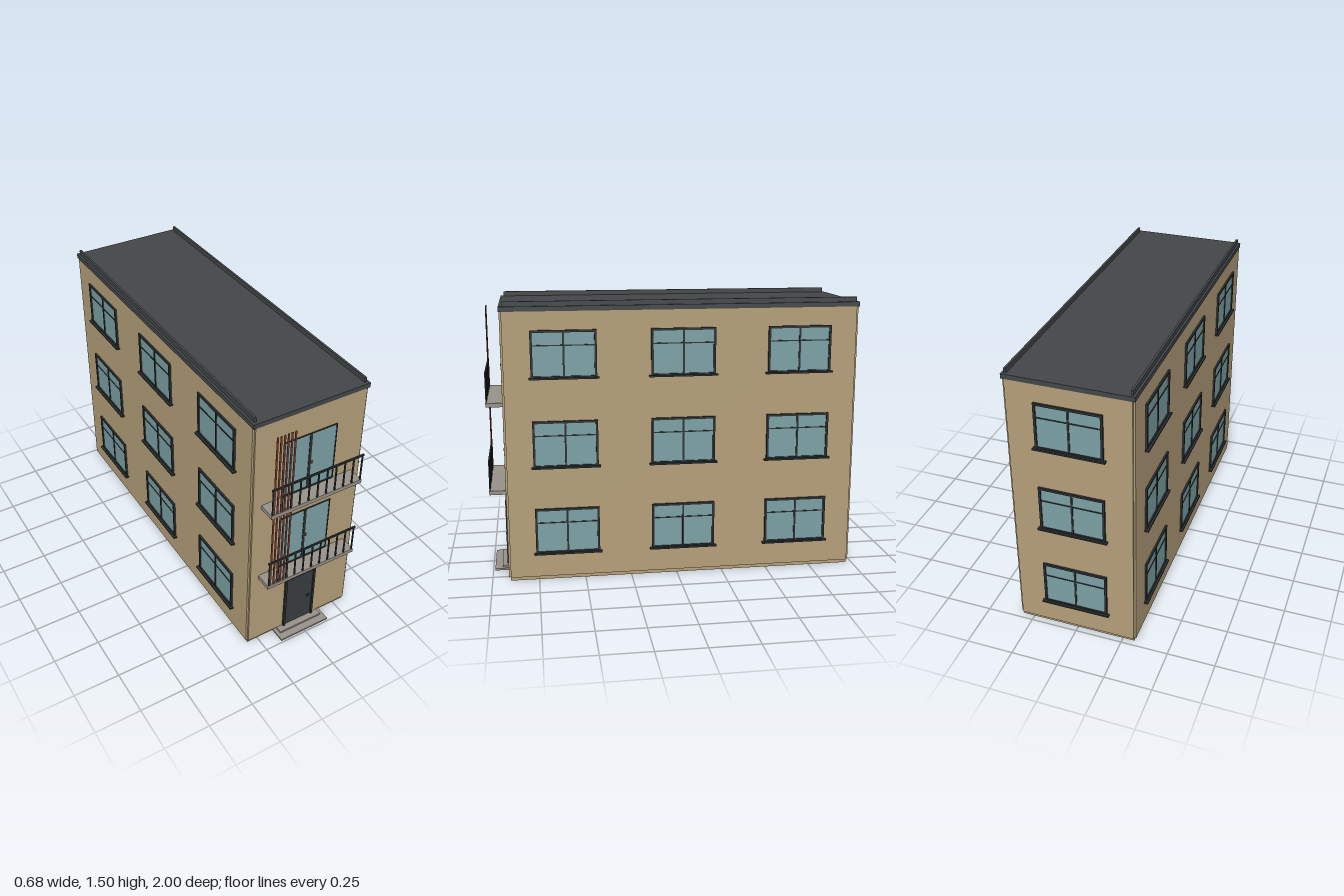
import * as THREE from 'three';

const mat = (name, color) => {
  const m = new THREE.MeshStandardMaterial({ color });
  m.name = name;
  return m;
};

export function createModel() {
  const wall = mat('wall render', 0xb5a07a);
  const roofMat = mat('roof grey', 0x434748);
  const frameMat = mat('frame dark grey', 0x2b3032);
  const glass = mat('glass', 0x7da2a6);
  const concrete = mat('concrete', 0x98938b);
  const slatMat = mat('red brown slat', 0x8c4734);
  const doorMat = mat('door charcoal', 0x3a3e40);
  const handleMat = mat('handle bronze', 0x8a6a4a);

  const model = new THREE.Group();
  model.name = 'apartmentBuilding';

  // Box given by its lower and upper limits on each axis
  const box = (parent, name, m, x0, x1, y0, y1, z0, z1) => {
    const mesh = new THREE.Mesh(new THREE.BoxGeometry(x1 - x0, y1 - y0, z1 - z0), m);
    mesh.position.set((x0 + x1) / 2, (y0 + y1) / 2, (z0 + z1) / 2);
    mesh.name = name;
    parent.add(mesh);
    return mesh;
  };
  const group = (name, parent = model) => {
    const g = new THREE.Group();
    g.name = name;
    parent.add(g);
    return g;
  };

  const FRONT = 0.912, BACK = -0.978, HALF = 0.321, STOREY = 0.475;

  // Core with wall skins that leave a small notch at each corner
  const body = group('body');
  box(body, 'core', wall, -0.311, 0.311, 0, 1.446, BACK + 0.01, FRONT - 0.01);
  box(body, 'sideWalls', wall, -HALF, HALF, 0.02, 1.446, BACK + 0.01, FRONT - 0.01);
  box(body, 'endWalls', wall, -0.311, 0.311, 0.02, 1.446, BACK, FRONT);

  // Flat roof with a low parapet along both sides
  const roof = group('roof');
  box(roof, 'roofSlab', roofMat, -0.324, 0.324, 1.446, 1.471, BACK - 0.003, FRONT + 0.003);
  for (const s of [-1, 1]) {
    const p = box(roof, 'parapet', roofMat, -0.006, 0.006, 1.471, 1.496, -0.967, 0.898);
    p.position.x = s * 0.306;
  }

  // Window facing +z, with its bottom centre at the origin
  const addWindow = (x, y, z, turn) => {
    const w = group('window');
    const h = 0.25, r = 0.171, t = 0.012;
    box(w, 'glassPane', glass, -r + t, r - t, t, h - t, -0.002, 0.003);
    for (const s of [-1, 1]) {
      const jamb = box(w, 'jamb', frameMat, -t / 2, t / 2, 0, h, -0.002, 0.01);
      jamb.position.x = s * (r - t / 2);
    }
    box(w, 'frameTop', frameMat, -r + t, r - t, h - t, h, -0.002, 0.01);
    box(w, 'frameBottom', frameMat, -r + t, r - t, 0, t, -0.002, 0.01);
    box(w, 'mullion', frameMat, -0.005, 0.005, t, h - t, -0.002, 0.007);
    box(w, 'transom', frameMat, -r + t, r - t, 0.168, 0.174, -0.002, 0.006);
    box(w, 'sill', frameMat, -0.182, 0.182, -0.004, 0.005, -0.002, 0.021);
    w.position.set(x, y, z);
    w.rotation.y = turn;
  };
  for (let floor = 0; floor < 3; floor++) {
    const y = 0.15 + floor * STOREY;
    for (const z of [0.592, -0.033, -0.658]) {
      addWindow(HALF, y, z, Math.PI / 2);
      addWindow(-HALF, y, z, -Math.PI / 2);
    }
    addWindow(0, y, BACK, Math.PI);
  }

  // Balconies with glazed doors, front railing and a slatted screen
  for (let floor = 0; floor < 2; floor++) {
    const b = group('balcony');
    b.position.y = 0.47 + floor * STOREY;
    box(b, 'balconySlab', concrete, -0.264, 0.264, 0, 0.022, FRONT - 0.005, 1);

    const top = 0.356, low = 0.022;
    box(b, 'balconyDoorGlass', glass, -0.145, 0.145, low + 0.008, top - 0.005, FRONT - 0.004, FRONT + 0.002);
    box(b, 'doorFrameLeft', frameMat, 0.145, 0.15, low, top, FRONT - 0.004, FRONT + 0.005);
    box(b, 'doorFrameRight', frameMat, -0.15, -0.145, low, top, FRONT - 0.004, FRONT + 0.005);
    box(b, 'doorFrameTop', frameMat, -0.145, 0.145, top - 0.005, top, FRONT - 0.004, FRONT + 0.005);
    box(b, 'doorFrameBottom', frameMat, -0.145, 0.145, low, low + 0.008, FRONT - 0.004, FRONT + 0.005);
    box(b, 'doorMeetingStile', frameMat, -0.007, 0.007, low, top, FRONT - 0.004, FRONT + 0.005);
    box(b, 'doorHandle', handleMat, 0.006, 0.013, 0.176, 0.19, FRONT + 0.001, FRONT + 0.012);

    box(b, 'handrail', frameMat, -0.264, 0.264, 0.17, 0.18, 0.992, 1);
    for (let i = 0; i < 11; i++) {
      const x = -0.256 + i * 0.0512;
      box(b, 'baluster', frameMat, x - 0.0035, x + 0.0035, 0.022, 0.17, 0.993, 0.999);
    }
    for (let i = 0; i < 6; i++) {
      const x = -0.249 + i * 0.0196;
      box(b, 'screenSlat', slatMat, x - 0.0042, x + 0.0042, 0.022, STOREY + (floor ? 0.007 : 0), 0.994, 0.9985);
    }
  }

  // Entrance door with frame, handle and two shallow steps
  const entry = group('entrance');
  box(entry, 'doorLeaf', doorMat, -0.083, 0.083, 0.022, 0.365, FRONT - 0.004, FRONT + 0.004);
  for (const s of [-1, 1]) {
    const jamb = box(entry, 'doorJamb', frameMat, -0.006, 0.006, 0.02, 0.377, FRONT - 0.004, FRONT + 0.012);
    jamb.position.x = s * 0.089;
  }
  box(entry, 'doorHead', frameMat, -0.083, 0.083, 0.365, 0.377, FRONT - 0.004, FRONT + 0.012);
  box(entry, 'doorHandle', frameMat, 0.05, 0.066, 0.178, 0.185, FRONT + 0.003, FRONT + 0.014);
  box(entry, 'lowerStep', concrete, -0.15, 0.15, 0, 0.01, FRONT - 0.012, 0.99);
  box(entry, 'upperStep', concrete, -0.13, 0.13, 0.01, 0.02, FRONT - 0.012, 0.95);

  return model;
}
